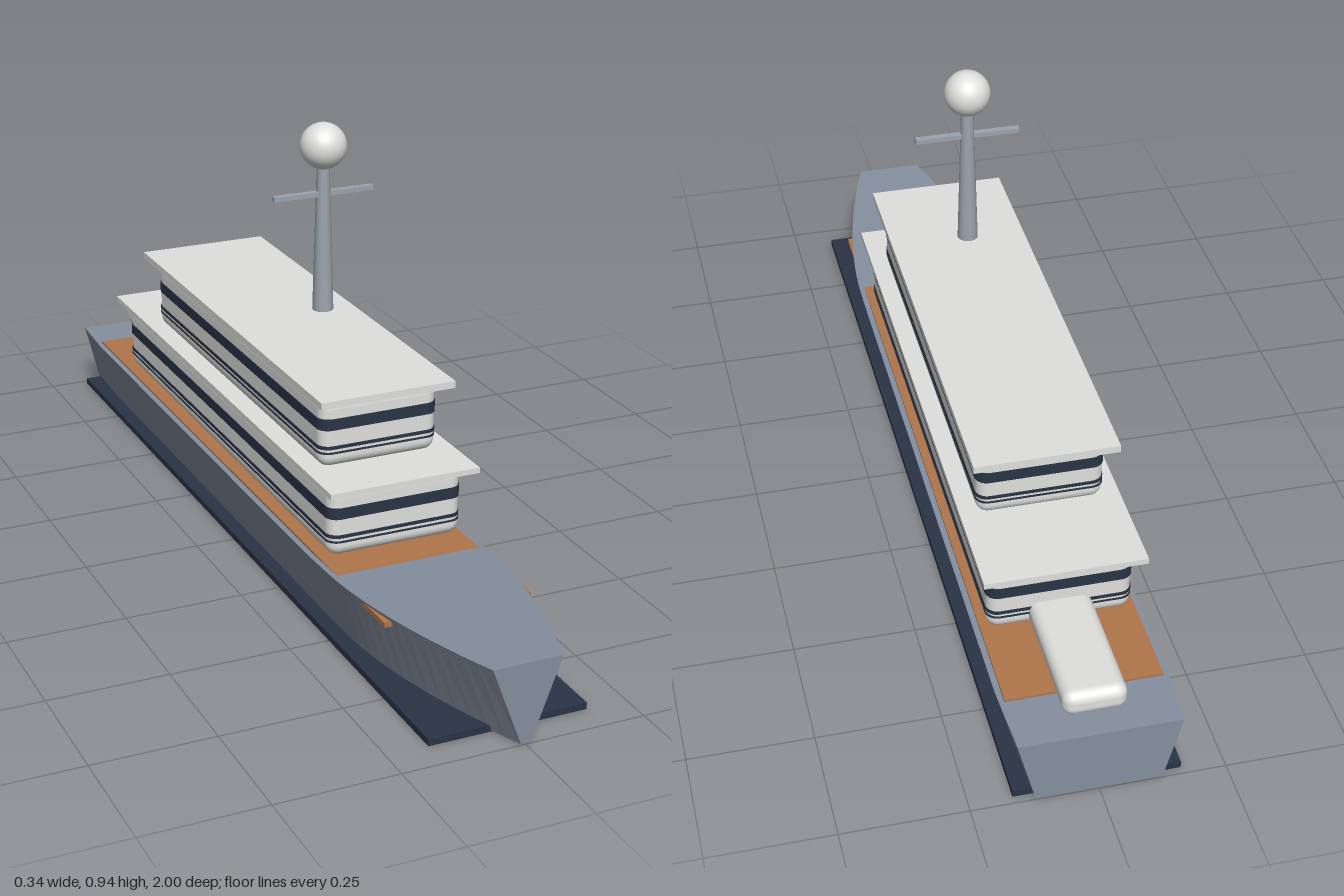
import * as THREE from 'three';
import { RoundedBoxGeometry } from 'three/addons/geometries/RoundedBoxGeometry.js';

const material = (name, color) => {
  const m = new THREE.MeshStandardMaterial({ color });
  m.name = name;
  return m;
};

export function createModel() {
  const model = new THREE.Group();
  model.name = 'ship';

  const hullGrey = material('hull grey', 0x858f9f);
  hullGrey.flatShading = true;
  const navy = material('dark navy', 0x2a3446);
  const white = material('off white', 0xe0e0dd);
  const teak = material('teak', 0xb0754a);
  const mastGrey = material('mast grey', 0x9ca4ae);

  const add = (name, geometry, mat, parent = model) => {
    const mesh = new THREE.Mesh(geometry, mat);
    mesh.name = name;
    parent.add(mesh);
    return mesh;
  };
  // Boxes given by half width and y / z ranges
  const box = (name, hw, y0, y1, z0, z1, mat, parent, radius = 0) => {
    const size = [hw * 2, y1 - y0, z1 - z0];
    const geo = radius ? new RoundedBoxGeometry(...size, 5, radius) : new THREE.BoxGeometry(...size);
    geo.translate(0, (y0 + y1) / 2, (z0 + z1) / 2);
    return add(name, geo, mat, parent);
  };

  // Hull: four-cornered sections, flared sides, bow narrowing to a blunt stem
  const section = (z) => {
    const bow = Math.pow(Math.max(0, (z - 0.5) / 0.5), 1.8);
    const stern = Math.max(0, (-0.85 - z) / 0.15);
    const top = 0.168 - 0.096 * bow - 0.008 * stern;
    const bottom = 0.13 - 0.12 * bow - 0.006 * stern;
    const y = 0.144 + 0.023 * Math.max(0, (z - 0.4) / 0.6);
    return [[-bottom, 0.002, z], [bottom, 0.002, z], [top, y, z], [-top, y, z]];
  };
  const stations = [-1, -0.85, 0.4];
  for (let i = 0; i <= 14; i++) stations.push(0.5 + (0.5 * i) / 14);
  const rings = stations.map(section);
  const points = [];
  const quad = (a, b, c, d) => points.push(...a, ...b, ...c, ...a, ...c, ...d);
  for (let i = 0; i < rings.length - 1; i++) {
    for (let j = 0; j < 4; j++) {
      const k = (j + 1) % 4;
      quad(rings[i][j], rings[i][k], rings[i + 1][k], rings[i + 1][j]);
    }
  }
  quad(...rings[rings.length - 1]);
  quad(...[...rings[0]].reverse());
  const hull = new THREE.BufferGeometry();
  hull.setAttribute('position', new THREE.Float32BufferAttribute(points, 3));
  hull.computeVertexNormals();
  add('hull', hull, hullGrey);

  // Flat bottom plate and planked deck
  box('bottomPlate', 0.165, 0, 0.014, -0.984, 0.936, navy);
  box('deck', 0.156, 0.138, 0.1485, -0.88, 0.73, teak);

  // Band wrapped around a rounded deckhouse
  const band = (name, hw, z0, z1, y0, y1, parent) => {
    const w = hw + 0.0015, a = -z1 - 0.0015, b = -z0 + 0.0015, r = 0.025;
    const s = new THREE.Shape();
    s.moveTo(-w + r, a);
    s.lineTo(w - r, a);
    s.absarc(w - r, a + r, r, -Math.PI / 2, 0);
    s.lineTo(w, b - r);
    s.absarc(w - r, b - r, r, 0, Math.PI / 2);
    s.lineTo(-w + r, b);
    s.absarc(-w + r, b - r, r, Math.PI / 2, Math.PI);
    s.lineTo(-w, a + r);
    s.absarc(-w + r, a + r, r, Math.PI, Math.PI * 1.5);
    const geo = new THREE.ExtrudeGeometry(s, { depth: y1 - y0, bevelEnabled: false, curveSegments: 6 });
    geo.rotateX(-Math.PI / 2);
    geo.translate(0, y0, 0);
    add(name, geo, navy, parent);
  };

  // Two deckhouses, each with window band, pinstripes and overhanging roof
  const houses = [
    { name: 'lowerDeckhouse', hw: 0.145, y: 0.155, z0: -0.7, z1: 0.46, roof: [0.162, 0.303, 0.315, -0.739, 0.5] },
    { name: 'upperDeckhouse', hw: 0.128, y: 0.31, z0: -0.54, z1: 0.38, roof: [0.146, 0.457, 0.472, -0.583, 0.418] },
  ];
  for (const h of houses) {
    const g = new THREE.Group();
    g.name = h.name;
    model.add(g);
    box('walls', h.hw, h.y, h.y + 0.15, h.z0, h.z1, white, g, 0.025);
    band('windowBand', h.hw, h.z0, h.z1, h.y + 0.083, h.y + 0.107, g);
    band('upperPinstripe', h.hw, h.z0, h.z1, h.y + 0.042, h.y + 0.049, g);
    band('lowerPinstripe', h.hw, h.z0, h.z1, h.y + 0.032, h.y + 0.036, g);
    box('roof', ...h.roof, white, g);
  }

  // Low rounded locker on the stern deck
  box('sternLocker', 0.063, 0.157, 0.212, -0.964, -0.66, white, model, 0.022);

  // Mast with crossbar and radar dome
  const mast = new THREE.Group();
  mast.name = 'mast';
  mast.position.z = 0.1;
  model.add(mast);
  add('pole', new THREE.CylinderGeometry(0.013, 0.022, 0.32, 12), mastGrey, mast).position.y = 0.7;
  box('crossbar', 0.11, 0.785, 0.795, -0.007, 0.007, mastGrey, mast);
  add('radarDome', new THREE.SphereGeometry(0.048, 32, 20), white, mast).position.y = 0.89;

  return model;
}
